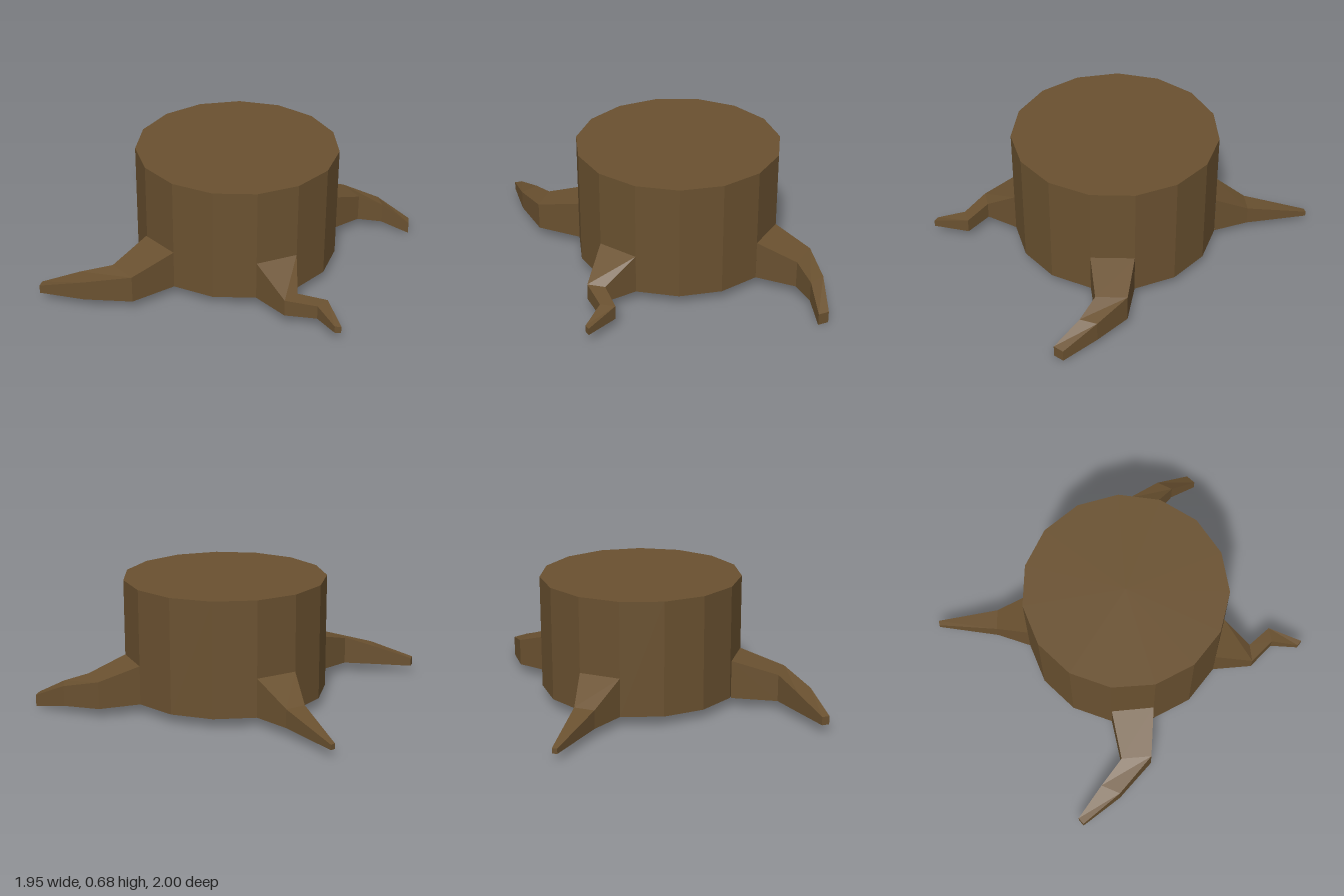
import * as THREE from 'three';

// Builds a tapering root from four-cornered sections.
// Each section: [leftX, leftZ, rightX, rightZ, topY, bottomY], seen looking outward from the trunk.
function rootGeometry(sections) {
  const rings = sections.map(([ax, az, bx, bz, top, bottom]) => [
    [ax, top, az], [bx, top, bz], [bx, bottom, bz], [ax, bottom, az],
  ]);
  const positions = [];
  const quad = (a, b, c, d) => positions.push(...a, ...b, ...c, ...a, ...c, ...d);
  for (let i = 0; i < rings.length - 1; i++) {
    for (let k = 0; k < 4; k++) {
      const n = (k + 1) % 4;
      quad(rings[i][k], rings[i][n], rings[i + 1][n], rings[i + 1][k]);
    }
  }
  quad(...rings[rings.length - 1]); // blunt tip
  const geometry = new THREE.BufferGeometry();
  geometry.setAttribute('position', new THREE.Float32BufferAttribute(positions, 3));
  geometry.computeVertexNormals();
  return geometry;
}

export function createModel() {
  const group = new THREE.Group();
  group.name = 'treeStump';

  const bark = new THREE.MeshStandardMaterial({ color: 0x6a5130 });
  bark.name = 'bark brown';
  bark.flatShading = true;

  const add = (name, geometry) => {
    const mesh = new THREE.Mesh(geometry, bark);
    mesh.name = name;
    group.add(mesh);
    return mesh;
  };

  // Fifteen-sided trunk with one corner pointing to the back
  const trunk = add('trunk', new THREE.CylinderGeometry(0.546, 0.546, 0.62, 15, 1, false, Math.PI));
  trunk.position.set(0.09, 0.365, 0.035);

  // Four crooked roots, each starting on one side of the trunk
  const roots = {
    backRoot: [
      [0.09, -0.511, 0.312, -0.464, 0.265, 0.055],
      [0.185, -0.68, 0.295, -0.66, 0.15, 0.05],
      [0.295, -1.0, 0.322, -1.0, 0.068, 0.04],
    ],
    rightRoot: [
      [-0.453, 0.092, -0.435, -0.134, 0.265, 0.055],
      [-0.70, 0.035, -0.685, -0.125, 0.2, 0.052],
      [-0.86, -0.165, -0.80, -0.255, 0.155, 0.05],
      [-0.975, -0.385, -0.94, -0.405, 0.09, 0.045],
    ],
    frontRoot: [
      [-0.024, 0.569, -0.231, 0.477, 0.265, 0.055],
      [-0.155, 0.695, -0.25, 0.69, 0.145, 0.055],
      [-0.07, 0.825, -0.15, 0.825, 0.125, 0.05],
      [-0.165, 0.995, -0.187, 0.97, 0.09, 0.053],
    ],
    leftRoot: [
      [0.633, 0.092, 0.563, 0.308, 0.265, 0.055],
      [0.83, 0.19, 0.78, 0.345, 0.197, 0.05],
      [0.92, 0.375, 0.865, 0.45, 0.15, 0.04],
      [0.972, 0.565, 0.925, 0.6, 0.063, 0.0],
    ],
  };
  for (const [name, sections] of Object.entries(roots)) add(name, rootGeometry(sections));

  return group;
}
